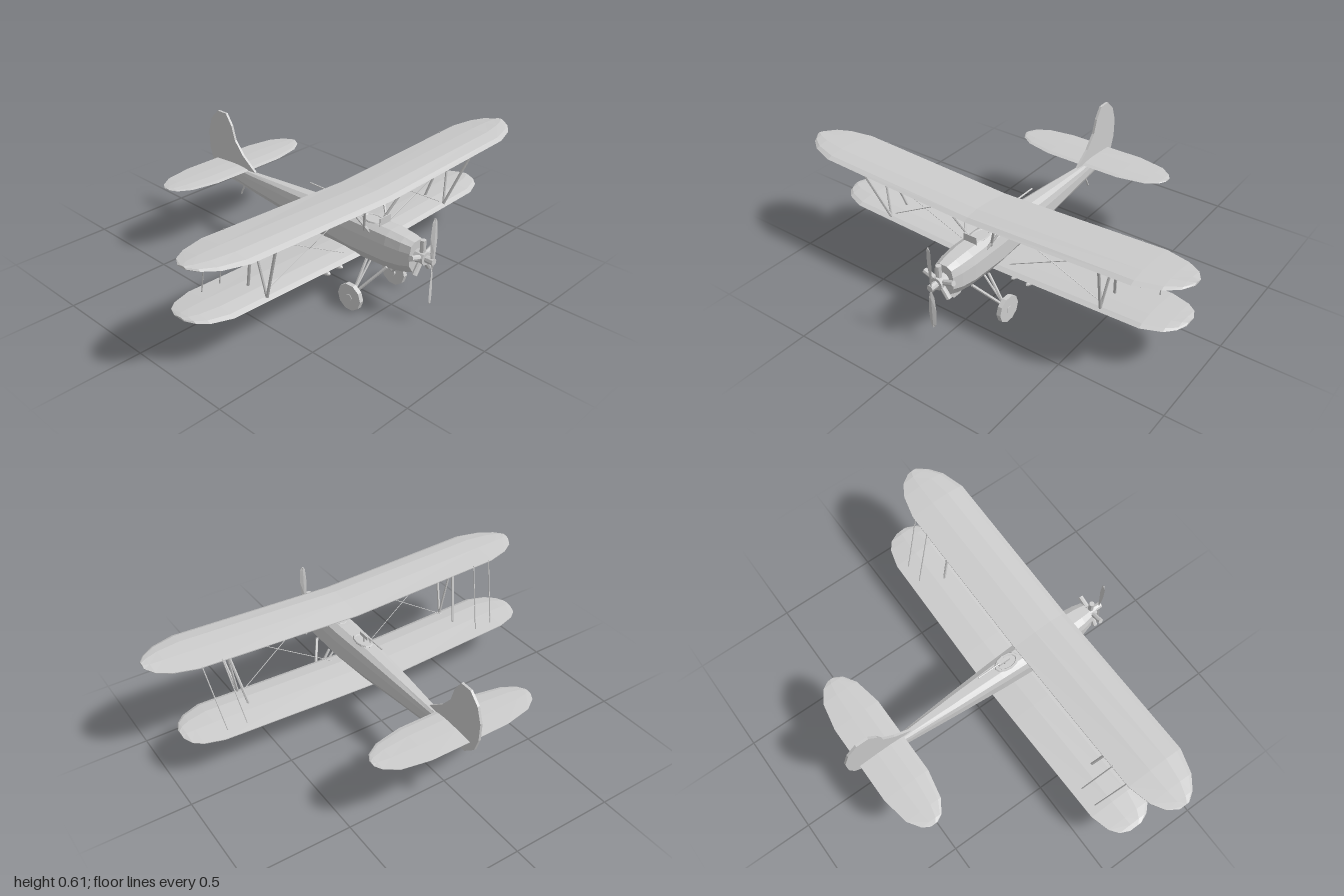
import * as THREE from 'three';

const mat = new THREE.MeshStandardMaterial({ color: 0xcccccc, flatShading: true });
const V = (x, y, z) => new THREE.Vector3(x, y, z);

export function createModel() {
  const root = new THREE.Group();
  root.name = 'biplane';

  const add = (name, geo, x = 0, y = 0, z = 0) => {
    const m = new THREE.Mesh(geo, mat);
    m.name = name;
    m.position.set(x, y, z);
    root.add(m);
    return m;
  };

  // Closed skin through a list of rings, capped at both ends and turned outwards
  const loft = (name, rings) => {
    const n = rings[0].length, pts = rings.flat(), tris = [];
    rings.slice(1).forEach((_, r) => {
      for (let i = 0; i < n; i++) {
        const a = r * n + i, b = r * n + (i + 1) % n;
        tris.push([a, b, b + n], [a, b + n, a + n]);
      }
    });
    const last = (rings.length - 1) * n;
    [0, last].forEach((s) => {
      const c = pts.length;
      pts.push(rings[s / n].reduce((p, q) => p.add(q), V(0, 0, 0)).divideScalar(n));
      for (let i = 0; i < n; i++) {
        const a = s + i, b = s + (i + 1) % n;
        tris.push(s ? [c, a, b] : [c, b, a]);
      }
    });
    const volume = tris.reduce((v, [a, b, c]) => v + pts[a].dot(V(0, 0, 0).crossVectors(pts[b], pts[c])), 0);
    const index = tris.flatMap(([a, b, c]) => (volume < 0 ? [a, c, b] : [a, b, c]));
    const g = new THREE.BufferGeometry().setFromPoints(pts);
    g.setIndex(index);
    g.computeVertexNormals();
    return add(name, g);
  };

  // Straight round bar between two points, or a pair of them mirrored in x
  const rod = (name, a, b, r, sides = 6) => {
    const d = V(...b).sub(V(...a));
    const m = add(name, new THREE.CylinderGeometry(r, r, d.length(), sides));
    m.position.copy(V(...a)).addScaledVector(d, 0.5);
    m.quaternion.setFromUnitVectors(V(0, 1, 0), d.normalize());
  };
  const pair = (name, [ax, ay, az], [bx, by, bz], r) => {
    for (const s of [1, -1]) rod(name, [s * ax, ay, az], [s * bx, by, bz], r);
  };

  // Fuselage: [z, half width, bottom, top]
  const section = [[0.42, 1], [0.85, 0.9], [1, 0.68], [1, 0.27], [0.5, 0]];
  const ringPoints = [...section, ...section.map(([u, v]) => [-u, v]).reverse()];
  loft('fuselage', [
    [0.625, 0.05, 0.235, 0.378], [0.575, 0.062, 0.219, 0.386], [0.5, 0.07, 0.208, 0.392],
    [0.3, 0.07, 0.202, 0.392], [0.1, 0.06, 0.214, 0.388], [-0.15, 0.044, 0.24, 0.372],
    [-0.4, 0.025, 0.26, 0.355], [-0.57, 0.008, 0.274, 0.345],
  ].map(([z, w, lo, hi]) => ringPoints.map(([u, v]) => V(u * w, lo + v * (hi - lo), z))));

  // Wings and tailplane: half-span stations [x, front z, rear z, bottom y, thickness]
  const airfoil = [[0, 0.3], [0.08, 0.7], [0.3, 1], [0.6, 0.8], [1, 0.15], [1, 0], [0.5, 0], [0.06, 0.05]];
  const wing = (name, half) => {
    const left = half.filter((s) => s[0] > 0).map(([x, ...r]) => [-x, ...r]).reverse();
    loft(name, [...left, ...half].map(([x, f, r, y, t]) =>
      airfoil.map(([u, v]) => V(x, y + v * t, f + (r - f) * u))));
  };
  wing('upperWing', [
    [0, 0.48, 0.195, 0.504, 0.03], [0.8, 0.48, 0.195, 0.536, 0.026], [0.91, 0.445, 0.222, 0.541, 0.022],
    [0.97, 0.4, 0.258, 0.546, 0.016], [1, 0.355, 0.305, 0.551, 0.01],
  ]);
  wing('lowerWing', [
    [0, 0.345, 0.05, 0.198, 0.028], [0.2, 0.345, 0.052, 0.204, 0.028], [0.78, 0.345, 0.06, 0.224, 0.025],
    [0.87, 0.31, 0.085, 0.227, 0.02], [0.91, 0.27, 0.115, 0.23, 0.015], [0.93, 0.225, 0.16, 0.232, 0.009],
  ]);
  wing('tailplane', [
    [0, -0.425, -0.66, 0.354, 0.013], [0.2, -0.425, -0.66, 0.355, 0.012], [0.335, -0.452, -0.635, 0.356, 0.01],
    [0.395, -0.49, -0.595, 0.357, 0.008], [0.415, -0.525, -0.56, 0.358, 0.005],
  ]);

  // Fin and rudder, drawn in (z, y) and extruded across x
  const fin = new THREE.Shape([
    [-0.38, 0.362], [-0.465, 0.425], [-0.52, 0.49], [-0.542, 0.56], [-0.58, 0.615], [-0.64, 0.615],
    [-0.69, 0.565], [-0.715, 0.49], [-0.712, 0.4], [-0.69, 0.335], [-0.63, 0.285], [-0.565, 0.282], [-0.56, 0.345],
  ].map(([z, y]) => new THREE.Vector2(-z, y)));
  const finGeo = new THREE.ExtrudeGeometry(fin, { depth: 0.012, bevelEnabled: false });
  finGeo.rotateY(Math.PI / 2).translate(-0.006, 0, 0);
  add('finAndRudder', finGeo);
  rod('tailSkid', [0, 0.275, -0.46], [0, 0.21, -0.492], 0.005);

  // Interplane struts and cabane struts
  pair('frontStrut', [0.635, 0.535, 0.44], [0.585, 0.23, 0.325], 0.007);
  pair('diagonalStrut', [0.635, 0.535, 0.3], [0.585, 0.23, 0.325], 0.006);
  pair('rearStrut', [0.635, 0.535, 0.3], [0.585, 0.23, 0.21], 0.007);
  pair('frontCabane', [0.13, 0.515, 0.44], [0.055, 0.35, 0.375], 0.006);
  pair('rearCabane', [0.13, 0.515, 0.3], [0.055, 0.35, 0.415], 0.006);

  // Rigging and aileron links
  pair('riggingWire', [0.63, 0.535, 0.38], [0.07, 0.21, 0.29], 0.0018);
  pair('riggingWire', [0.585, 0.235, 0.3], [0.12, 0.515, 0.38], 0.0018);
  for (const x of [0.785, 0.69]) pair('aileronLink', [x, 0.54, 0.2], [x - 0.04, 0.23, 0.105], 0.003);

  // Undercarriage
  for (const s of [1, -1]) {
    const wheel = add('wheel', new THREE.CylinderGeometry(0.065, 0.065, 0.022, 10), s * 0.15, 0.065, 0.39);
    wheel.rotation.z = Math.PI / 2;
    const hub = add('wheelHub', new THREE.CylinderGeometry(0.016, 0.016, 0.034, 8), s * 0.147, 0.065, 0.39);
    hub.rotation.z = Math.PI / 2;
  }
  pair('frontLeg', [0.137, 0.07, 0.39], [0.05, 0.22, 0.505], 0.007);
  pair('rearLeg', [0.137, 0.07, 0.39], [0.05, 0.215, 0.39], 0.007);
  pair('innerLeg', [0.137, 0.07, 0.39], [0.015, 0.205, 0.39], 0.005);

  // Radial engine, centred on the propeller shaft
  const axisY = 0.31;
  rod('crankcase', [0, axisY, 0.62], [0, axisY, 0.675], 0.03, 10);
  rod('propellerShaft', [0, axisY, 0.67], [0, axisY, 0.715], 0.016, 8);
  for (let i = 0; i < 5; i++) {
    const a = (i / 5) * Math.PI * 2;
    const at = (r) => [Math.sin(a) * r, axisY + Math.cos(a) * r, 0.654];
    rod('engineCylinder', at(0.02), at(0.083), 0.013, 8);
  }

  // Propeller: flat sections twisted along the blade, [radius, half chord, twist]
  const blade = [[0.205, 0.005, 0.15], [0.19, 0.013, 0.2], [0.12, 0.017, 0.3], [0.05, 0.012, 0.5], [0, 0.009, 0.7]];
  const bladeRing = ([r, w, t], s) => [[-1, 0], [0, 0.004], [1, 0], [0, -0.004]].map(([u, d]) =>
    V(u * w * Math.cos(t), axisY - 0.003 + s * r, 0.707 + s * u * w * Math.sin(t) + d));
  loft('propeller', [...blade.map((b) => bladeRing(b, 1)),
    ...blade.slice(0, -1).reverse().map((b) => bladeRing(b, -1))]);

  // Cockpit rims and windscreen
  for (const [z, len] of [[0.38, 0.13], [0.155, 0.13]]) {
    const rim = add('cockpitRim', new THREE.TorusGeometry(0.5, 0.09, 6, 12), 0, 0.389, z);
    rim.rotation.x = Math.PI / 2;
    rim.scale.set(0.065, len * 0.85, 0.07);
  }
  add('windscreen', new THREE.BoxGeometry(0.07, 0.042, 0.004), 0, 0.406, 0.445);

  // Rear-facing gun on a post
  rod('gunPost', [0, 0.385, 0.145], [0, 0.425, 0.145], 0.004);
  add('gunBody', new THREE.BoxGeometry(0.014, 0.018, 0.06), 0, 0.427, 0.137);
  rod('gunBarrel', [0, 0.433, 0.12], [0, 0.433, -0.005], 0.004);

  // Bombs and their racks under the lower wing
  const bombProfile = [[0, -0.078], [0.009, -0.07], [0.015, -0.04], [0.015, 0.04], [0.009, 0.068], [0, 0.078]]
    .map(([r, y]) => new THREE.Vector2(r, y));
  for (const s of [1, -1]) for (const x of [0.115, 0.195]) {
    const bomb = add('bomb', new THREE.LatheGeometry(bombProfile, 8), s * x, 0.16, 0.233);
    bomb.rotation.x = Math.PI / 2;
    add('bombRack', new THREE.BoxGeometry(0.009, 0.038, 0.07), s * x, 0.188, 0.227);
  }
  return root;
}
